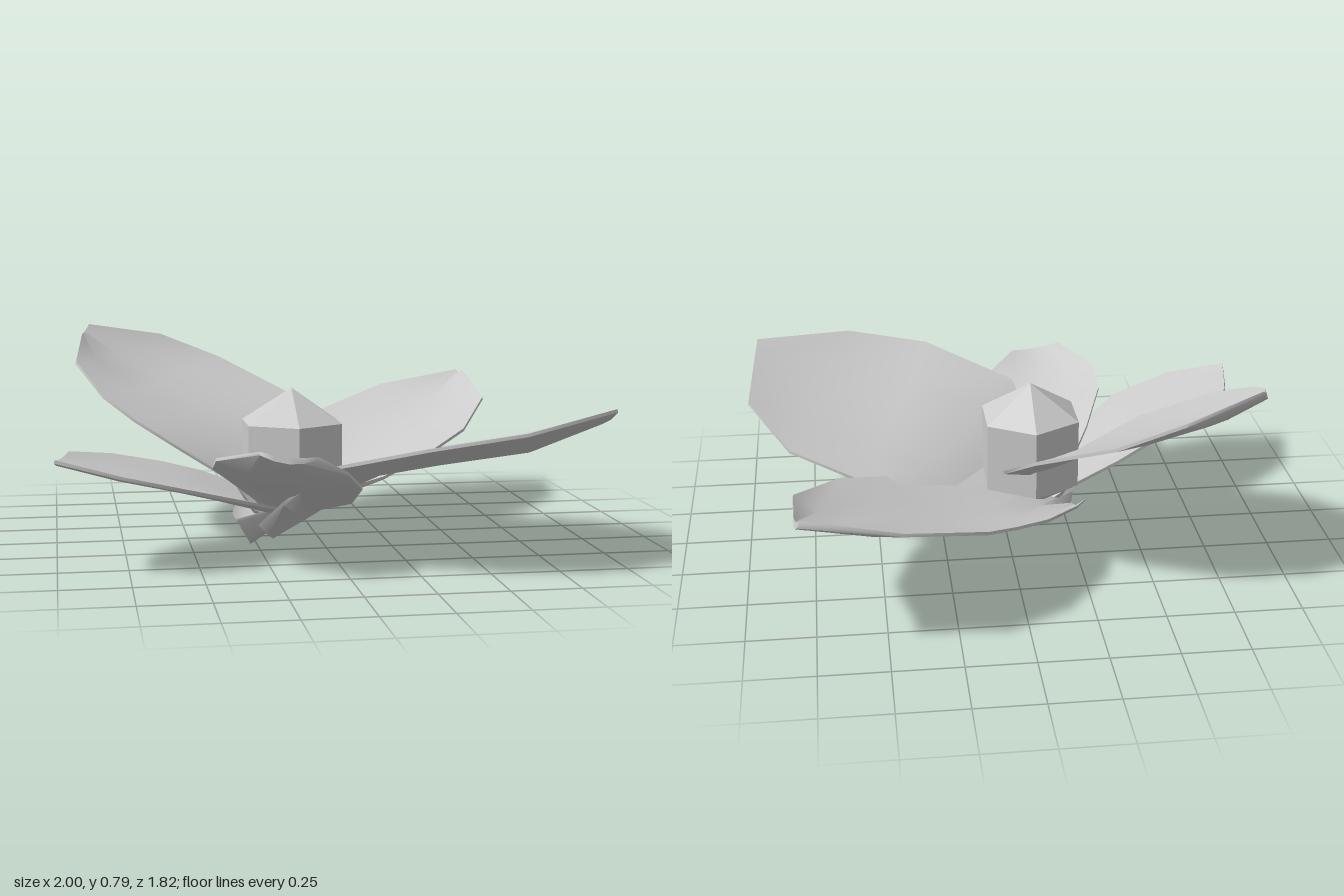
import * as THREE from 'three';
import { toCreasedNormals } from 'three/addons/utils/BufferGeometryUtils.js';

const material = new THREE.MeshStandardMaterial({ color: 0xcccccc });
const V = (p) => new THREE.Vector3(...p);

// Petal lofted from base to tip; each row gives its left and right edge point.
// The middle of a row sinks by a depth running from depths[0] at the base to depths[1] at the tip.
function petalGeometry(rows, depths) {
  const N = 4, K = 2 * (N + 1), positions = [], index = [];
  const L = rows.map((r) => V(r[0])), R = rows.map((r) => V(r[1]));
  const mid = L.map((l, i) => l.clone().lerp(R[i], 0.5));
  const last = rows.length - 1;
  rows.forEach((_, i) => {
    const across = R[i].clone().sub(L[i]);
    const along = mid[Math.min(i + 1, last)].clone().sub(mid[Math.max(i - 1, 0)]);
    const up = across.clone().cross(along).normalize();
    const depth = i === last ? 0.01 : THREE.MathUtils.lerp(...depths, i / last);
    const point = (j, under) => {
      const s = j / N, belly = 4 * s * (1 - s);
      const sink = depth * belly + (under ? 0.012 + 0.012 * belly : 0);
      positions.push(...L[i].clone().lerp(R[i], s).addScaledVector(up, -sink).toArray());
    };
    for (let j = 0; j <= N; j++) point(j, false);
    for (let j = N; j >= 0; j--) point(j, true);
  });
  // skin around the closed cross-sections
  for (let i = 0; i < last; i++) {
    for (let j = 0; j < K; j++) {
      const a = i * K + j, b = i * K + (j + 1) % K;
      index.push(a, b, a + K, b, b + K, a + K);
    }
  }
  // caps at base and tip
  for (let j = 0; j < N; j++) {
    const a = j, b = j + 1, c = K - 1 - j, d = K - 2 - j, t = last * K;
    index.push(a, c, b, b, c, d);
    index.push(t + a, t + b, t + c, t + b, t + d, t + c);
  }
  const geometry = new THREE.BufferGeometry();
  geometry.setAttribute('position', new THREE.Float32BufferAttribute(positions, 3));
  geometry.setIndex(index);
  return toCreasedNormals(geometry, 1.2);
}

const petals = {
  raisedBackPetal: { depths: [0.03, 0.035], rows: [
    [[-0.27, 0.16, 0.22], [-0.12, 0.16, 0.17]],
    [[-0.33, 0.26, 0.18], [-0.04, 0.3, -0.1]],
    [[-0.55, 0.4, 0.15], [0.04, 0.4, -0.29]],
    [[-0.7, 0.49, 0.06], [-0.05, 0.52, -0.48]],
    [[-0.81, 0.57, -0.03], [-0.31, 0.65, -0.67]],
    [[-0.91, 0.68, -0.25], [-0.55, 0.745, -0.7]],
    [[-0.88, 0.77, -0.48], [-0.85, 0.8, -0.575]],
  ] },
  backPetal: { depths: [0.1, 0.02], rows: [
    [[-0.33, 0.11, 0.02], [-0.34, 0.13, 0.23]],
    [[-0.25, 0.22, -0.25], [-0.06, 0.19, 0.19]],
    [[-0.1, 0.31, -0.52], [0.25, 0.25, 0.09]],
    [[0.03, 0.355, -0.65], [0.5, 0.32, -0.12]],
    [[0.14, 0.4, -0.76], [0.65, 0.38, -0.24]],
    [[0.44, 0.49, -0.91], [0.81, 0.47, -0.54]],
    [[0.78, 0.55, -0.895], [0.8, 0.55, -0.87]],
  ] },
  largeFrontPetal: { depths: [0.03, 0.05], rows: [
    [[-0.17, 0.04, 0], [-0.25, 0.1, 0.2]],
    [[0.02, 0.1, -0.14], [-0.19, 0.22, 0.4]],
    [[0.24, 0.2, -0.25], [-0.14, 0.3, 0.55]],
    [[0.42, 0.29, -0.21], [-0.1, 0.38, 0.64]],
    [[0.54, 0.32, -0.17], [0.25, 0.48, 0.86]],
    [[0.83, 0.39, 0], [0.58, 0.53, 0.9]],
    [[0.99, 0.48, 0.28], [0.96, 0.58, 0.71]],
  ] },
  sidePetal: { depths: [0.03, 0.02], rows: [
    [[-0.13, 0.14, 0.15], [-0.12, 0.14, 0]],
    [[-0.2, 0.19, 0.32], [-0.25, 0.2, -0.04]],
    [[-0.4, 0.26, 0.47], [-0.45, 0.28, 0]],
    [[-0.53, 0.31, 0.59], [-0.6, 0.33, 0.07]],
    [[-0.77, 0.375, 0.65], [-0.79, 0.38, 0.16]],
    [[-1, 0.43, 0.59], [-0.95, 0.42, 0.34]],
  ] },
  smallFrontPetal: { depths: [0.03, 0.03], rows: [
    [[-0.14, 0.09, 0.06], [-0.25, 0.15, 0.05]],
    [[-0.04, 0.16, 0.22], [-0.29, 0.23, 0.15]],
    [[0.07, 0.22, 0.4], [-0.37, 0.3, 0.3]],
    [[0.08, 0.3, 0.55], [-0.45, 0.38, 0.5]],
    [[0, 0.38, 0.7], [-0.45, 0.43, 0.63]],
    [[-0.12, 0.45, 0.79], [-0.32, 0.475, 0.8]],
  ] },
};

export function createModel() {
  const flower = new THREE.Group();
  flower.name = 'flower';
  for (const [name, { rows, depths }] of Object.entries(petals)) {
    const petal = new THREE.Mesh(petalGeometry(rows, depths), material);
    petal.name = name;
    flower.add(petal);
  }

  // six-sided flower centre with a pointed top
  const flat = material.clone();
  flat.flatShading = true;
  const addPart = (name, geometry, y) => {
    const mesh = new THREE.Mesh(geometry, flat);
    mesh.name = name;
    mesh.position.set(-0.105, y, 0.065);
    flower.add(mesh);
  };
  addPart('centreColumn', new THREE.CylinderGeometry(0.205, 0.205, 0.27, 6), 0.335);
  addPart('centreTip', new THREE.ConeGeometry(0.205, 0.13, 6, 1, true), 0.535);
  return flower;
}
